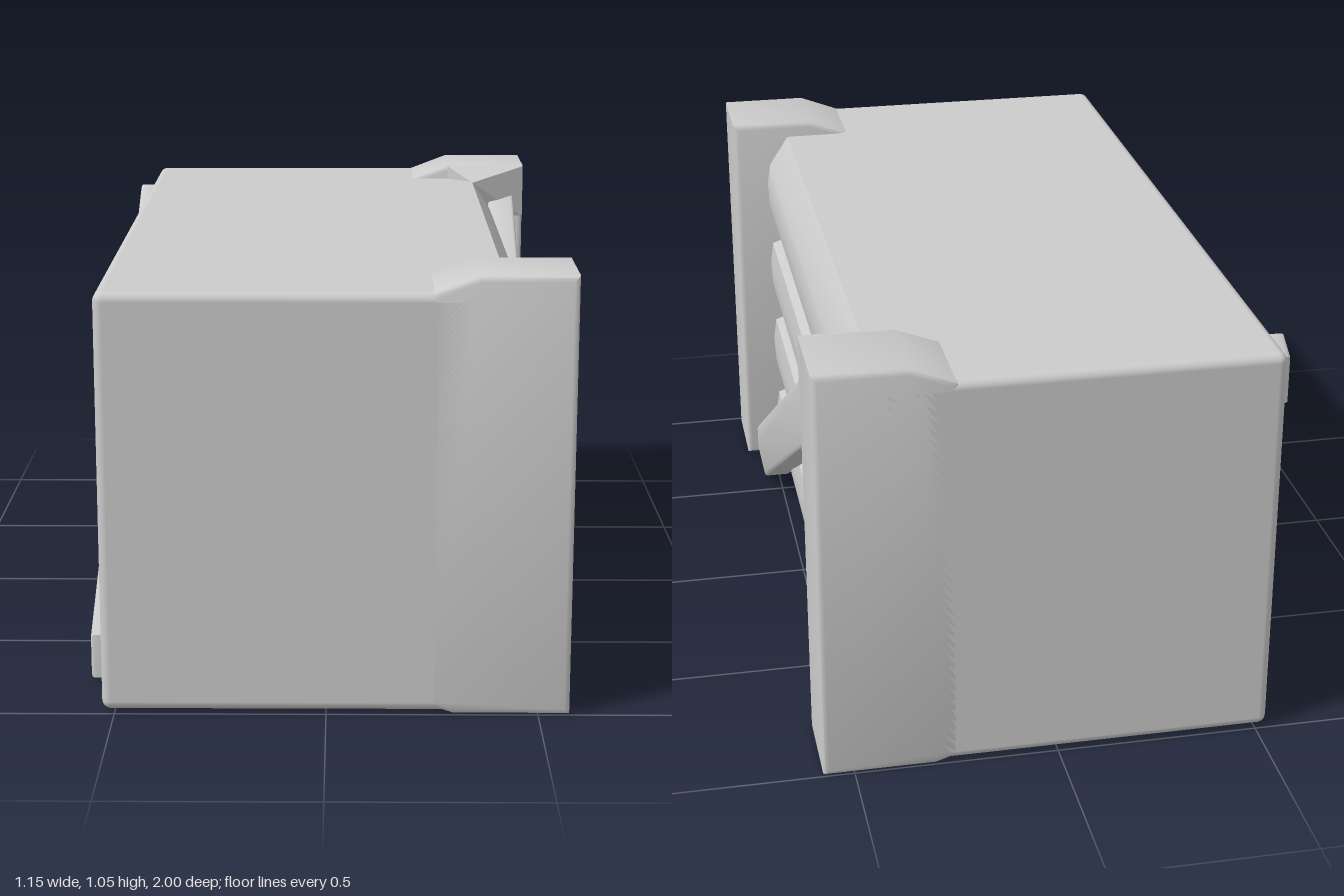
import * as THREE from 'three';
import { RoundedBoxGeometry } from 'three/addons/geometries/RoundedBoxGeometry.js';
import { ConvexGeometry } from 'three/addons/geometries/ConvexGeometry.js';
import { toCreasedNormals } from 'three/addons/utils/BufferGeometryUtils.js';

export function createModel() {
  const group = new THREE.Group();
  const grey = new THREE.MeshStandardMaterial({ color: 0xcccccc });
  grey.name = 'plain grey';

  const add = (name, geometry, x = 0, y = 0, z = 0) => {
    const mesh = new THREE.Mesh(geometry, grey);
    mesh.name = name;
    mesh.position.set(x, y, z);
    group.add(mesh);
    return mesh;
  };
  const shapeOf = (points) => new THREE.Shape(points.map(([a, b]) => new THREE.Vector2(a, b)));
  const extrude = (points, depth, bevel = 0) => toCreasedNormals(new THREE.ExtrudeGeometry(shapeOf(points), {
    depth: depth - 2 * bevel, bevelEnabled: bevel > 0, bevelSize: bevel, bevelThickness: bevel,
    bevelOffset: -bevel, bevelSegments: 2,
  }).translate(0, 0, bevel), 0.9);

  // Solid crate body
  add('crateBody', new RoundedBoxGeometry(0.955, 1.005, 2, 3, 0.022), -0.0525, 0.51, 0);

  // Corner posts, with a sloped shoulder onto the lid
  const post = [[0.24, 0.02], [0.3, 0], [0.575, 0], [0.575, 1.052], [0.35, 1.052], [0.24, 1.01]];
  add('frontPost', extrude(post, 0.248, 0.014), 0, 0, 0.752);
  add('backPost', extrude(post, 0.24, 0.014), 0, 0, -1);

  // Chamfered cap on the inner side of the back post
  const cap = [];
  for (const [x, z] of [[0.35, -0.8], [0.35, -0.76], [0.575, -0.8], [0.575, -0.76]]) {
    cap.push(new THREE.Vector3(x, 1.05, z), new THREE.Vector3(x, 0.9, z));
  }
  cap.push(new THREE.Vector3(0.42, 1.01, -0.69), new THREE.Vector3(0.42, 0.92, -0.71));
  add('backPostCap', new ConvexGeometry(cap));

  // Four bulging side planks with narrow gaps between them
  for (const [low, high, bend] of [[0.005, 0.22, 0.2], [0.228, 0.46, 0.44], [0.475, 0.708, 0.685], [0.722, 1.012, 0.93]]) {
    const h = bend - low;
    add('sidePlank', extrude([
      [0.4, low], [0.44, low], [0.463, low + h * 0.14], [0.479, low + h * 0.4],
      [0.482, low + h * 0.72], [0.474, bend], [0.42, high], [0.4, high],
    ], 1.56), 0, 0, -0.79);
  }

  // Diagonal braces: outlines given as [z, y], thickness along x
  const brace = (name, outline, x, thickness) => {
    const mesh = add(name, extrude(outline.map(([z, y]) => [-z, y]), thickness, 0.008), x);
    mesh.rotation.y = Math.PI / 2;
  };
  brace('rightBrace', [[0.77, 0.01], [0.57, 0.01], [-0.78, 0.8], [-0.78, 0.985], [0.77, 0.08]], 0.47, 0.075);
  brace('leftBrace', [[0.79, 0.01], [0.67, 0.01], [-0.88, 0.83], [-0.88, 0.95], [-0.82, 0.985], [0.79, 0.12]], -0.576, 0.06);

  return group;
}
